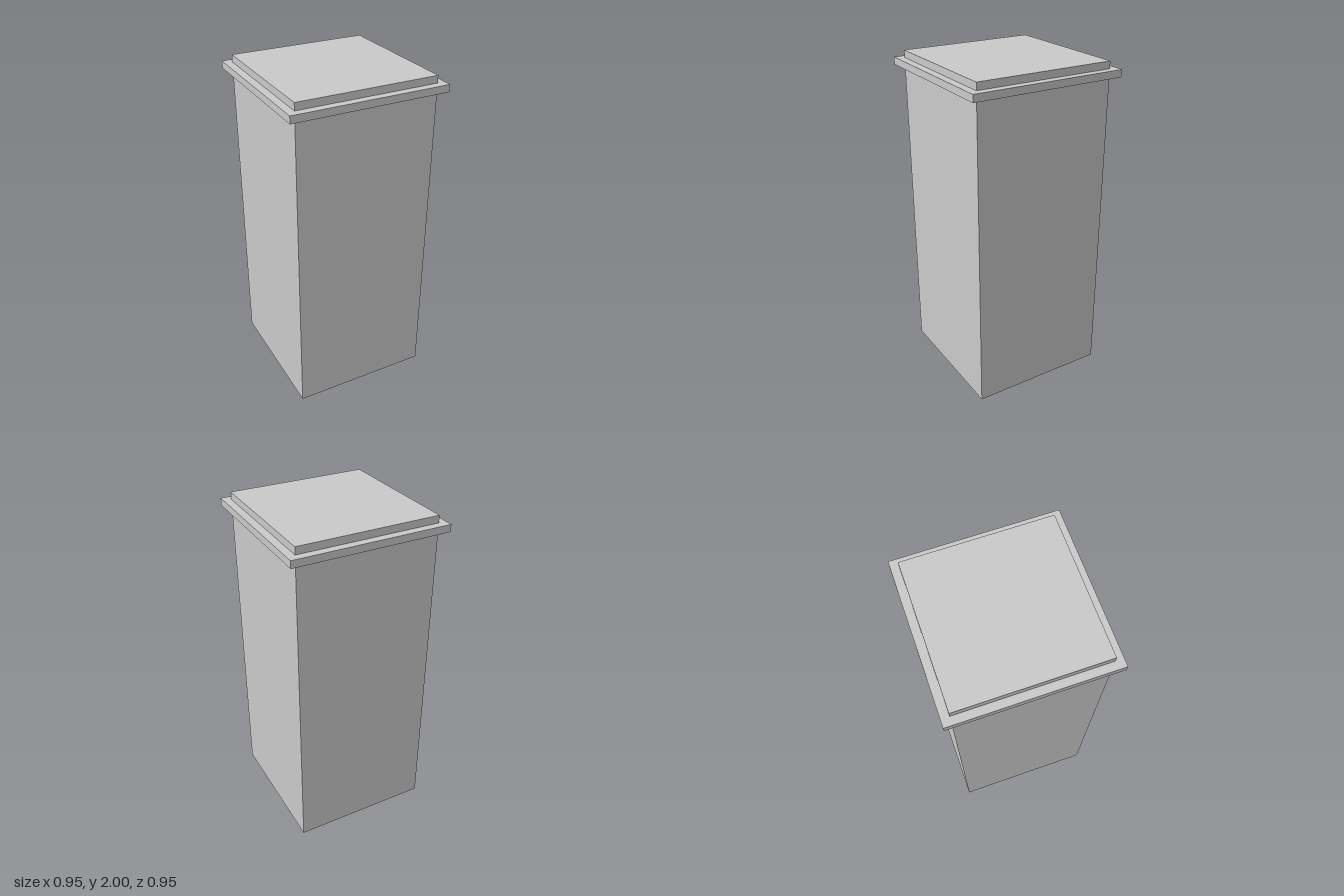
import * as THREE from 'three';

export function createModel() {
  const group = new THREE.Group();
  group.name = 'pillar';
  const material = new THREE.MeshStandardMaterial({ color: 0xcccccc, flatShading: true });

  // Square block of a given width between two heights
  const addBlock = (name, width, bottom, top) => {
    const mesh = new THREE.Mesh(new THREE.BoxGeometry(width, top - bottom, width), material);
    mesh.name = name;
    mesh.position.y = (bottom + top) / 2;
    group.add(mesh);
  };

  addBlock('shaft', 0.857, 0, 1.912);
  addBlock('collar', 0.952, 1.912, 1.956); // projecting band
  addBlock('cap', 0.857, 1.956, 2);
  return group;
}
